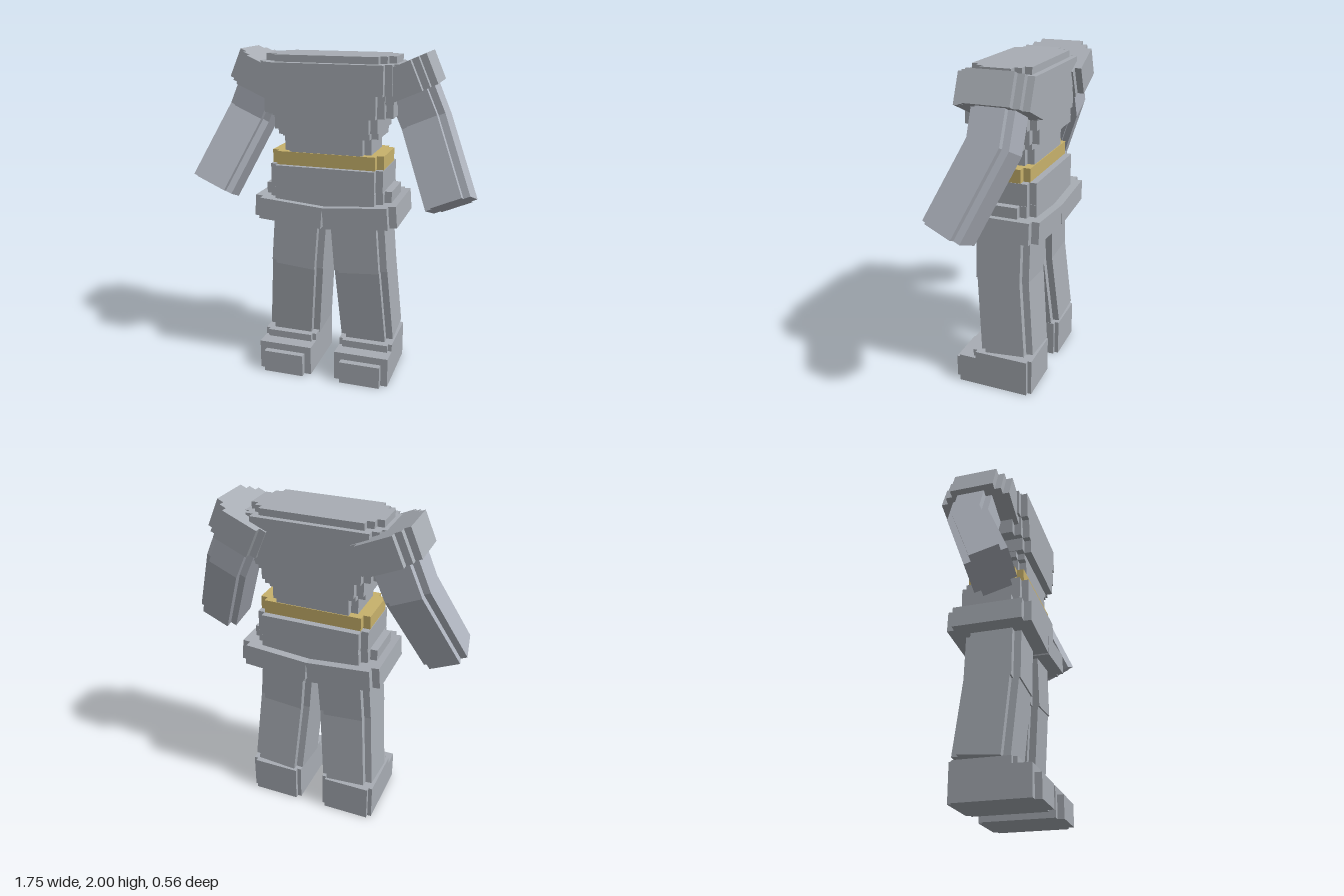
import * as THREE from 'three';

const rad = THREE.MathUtils.degToRad;

// Rectangle outline in x/z whose corners are cut into k square steps of size s
function steppedOutline(w, d, k, s) {
  const corner = [];
  for (let i = 0; i <= k; i++) {
    corner.push([w / 2 - i * s, d / 2 - (k - i) * s]);
    if (i < k) corner.push([w / 2 - (i + 1) * s, d / 2 - (k - i) * s]);
  }
  const flipped = [...corner].reverse();
  return [
    ...corner,
    ...flipped.map(([x, z]) => [-x, z]),
    ...corner.map(([x, z]) => [-x, -z]),
    ...flipped.map(([x, z]) => [x, -z]),
  ];
}

// Solid through tilted outlines, listed from bottom to top
function loft(rings, k, s) {
  const rows = rings.map(({ x = 0, y, z = 0, w, d, rx = 0 }) => {
    const e = new THREE.Euler(rad(rx), 0, 0);
    return steppedOutline(w, d, k, s).map(([px, pz]) =>
      new THREE.Vector3(px, 0, pz).applyEuler(e).add(new THREE.Vector3(x, y, z)));
  });
  const pos = [];
  const tri = (...pts) => pts.forEach((p) => pos.push(p.x, p.y, p.z));
  const n = rows[0].length;
  for (let r = 0; r < rows.length - 1; r++) {
    const a = rows[r], b = rows[r + 1];
    for (let i = 0; i < n; i++) {
      const j = (i + 1) % n;
      tri(a[i], b[i], b[j]);
      tri(a[i], b[j], a[j]);
    }
  }
  // end caps
  const flat = steppedOutline(rings[0].w, rings[0].d, k, s).map(([x, z]) => new THREE.Vector2(x, z));
  const top = rows[rows.length - 1];
  for (const [i, j, l] of THREE.ShapeUtils.triangulateShape(flat, [])) {
    tri(rows[0][i], rows[0][j], rows[0][l]);
    tri(top[i], top[l], top[j]);
  }
  const g = new THREE.BufferGeometry();
  g.setAttribute('position', new THREE.Float32BufferAttribute(pos, 3));
  g.computeVertexNormals();
  return g;
}

export function createModel() {
  const model = new THREE.Group();
  model.name = 'blockySuit';

  const material = (name, color) => {
    const m = new THREE.MeshStandardMaterial({ color });
    m.name = name;
    return m;
  };
  const grey = material('suit grey', 0xa8adb4);
  const blueGrey = material('sleeve grey', 0xb0b5bf);
  const gold = material('belt gold', 0xc8b26c);

  const add = (parent, name, geometry, mat) => {
    const mesh = new THREE.Mesh(geometry, mat);
    mesh.name = name;
    parent.add(mesh);
    return mesh;
  };

  // Torso layers: name, half width, back z, front z, bottom y, top y, corner steps
  const layers = [
    ['hips', 0.39, -0.22, 0.2, 1.06, 1.21, 2],
    ['waist', 0.345, -0.22, 0.2, 1.21, 1.34, 1],
    ['belt', 0.342, -0.18, 0.17, 1.34, 1.42, 1],
    ['midriff', 0.265, -0.175, 0.165, 1.42, 1.515, 1],
    ['abdomen', 0.305, -0.175, 0.165, 1.515, 1.555, 1],
    ['ribs', 0.31, -0.22, 0.21, 1.555, 1.64, 1],
    ['chest', 0.39, -0.22, 0.21, 1.64, 1.77, 2],
    ['shoulders', 0.43, -0.225, 0.21, 1.77, 1.94, 2],
    ['collarPlate', 0.39, -0.19, 0.16, 1.94, 1.98, 2],
  ];
  for (const [name, hw, z0, z1, y0, y1, k] of layers) {
    const ring = { z: (z0 + z1) / 2, w: hw * 2, d: z1 - z0 };
    add(model, name, loft([{ ...ring, y: y0 }, { ...ring, y: y1 }], k, 0.042),
      name === 'belt' ? gold : grey);
  }

  for (const [side, s] of [['left', 1], ['right', -1]]) {
    // Arm: tilted outwards, bent forwards at the elbow
    const arm = new THREE.Group();
    arm.name = side + 'Arm';
    arm.position.set(0.477 * s, 1.755, -0.075);
    arm.rotation.z = rad(23.7) * s;
    model.add(arm);
    const pad = { x: -0.02 * s, z: 0.015, w: 0.38, d: 0.43 };
    add(arm, side + 'ShoulderPad', loft([{ ...pad, y: 0.015 }, { ...pad, y: 0.195 }], 2, 0.04), grey);
    add(arm, side + 'Sleeve', loft([
      { y: -0.65, z: 0.185, w: 0.27, d: 0.25, rx: -22 },
      { y: -0.17, w: 0.27, d: 0.25, rx: -11 },
      { y: 0.1, w: 0.27, d: 0.25 },
    ], 1, 0.04), blueGrey);

    // Leg: splayed slightly, shin leaning back
    const leg = new THREE.Group();
    leg.name = side + 'Leg';
    leg.position.set(0.18 * s, 1, 0);
    leg.rotation.z = rad(4.6) * s;
    model.add(leg);
    const thigh = { z: -0.015, w: 0.335, d: 0.34 };
    add(leg, side + 'Thigh', loft([{ ...thigh, y: -0.31 }, { ...thigh, y: 0.05 }], 1, 0.042), grey);
    add(leg, side + 'Shin', loft([
      { y: -0.765, z: -0.06, w: 0.335, d: 0.338, rx: 5.5 },
      { y: -0.29, z: -0.019, w: 0.335, d: 0.332, rx: 3 },
    ], 1, 0.042), grey);

    // Hip guard with stepped outer corners and a square inner edge
    const guard = new THREE.Group();
    guard.name = side + 'HipGuard';
    guard.position.set(0.221 * s, 1.065, -0.015);
    guard.rotation.z = rad(4.6) * s;
    model.add(guard);
    add(guard, side + 'HipGuardPlate', loft([
      { y: -0.065, w: 0.436, d: 0.51 }, { y: 0.065, w: 0.436, d: 0.51 },
    ], 1, 0.045), grey);
    add(guard, side + 'HipGuardInnerEdge', new THREE.BoxGeometry(0.1, 0.13, 0.51), grey)
      .position.x = -0.167 * s;

    // Boot: heel block with two stepped toe blocks
    const boot = new THREE.Group();
    boot.name = side + 'Boot';
    boot.position.x = 0.248 * s;
    model.add(boot);
    const heel = { z: -0.0375, w: 0.34, d: 0.385 };
    add(boot, side + 'BootHeel', loft([{ ...heel, y: 0 }, { ...heel, y: 0.23 }], 1, 0.025), grey);
    add(boot, side + 'BootToe', new THREE.BoxGeometry(0.34, 0.185, 0.24), grey)
      .position.set(0, 0.0925, 0.12);
    add(boot, side + 'BootToeCap', new THREE.BoxGeometry(0.255, 0.14, 0.1), grey)
      .position.set(0, 0.07, 0.23);
  }
  return model;
}
